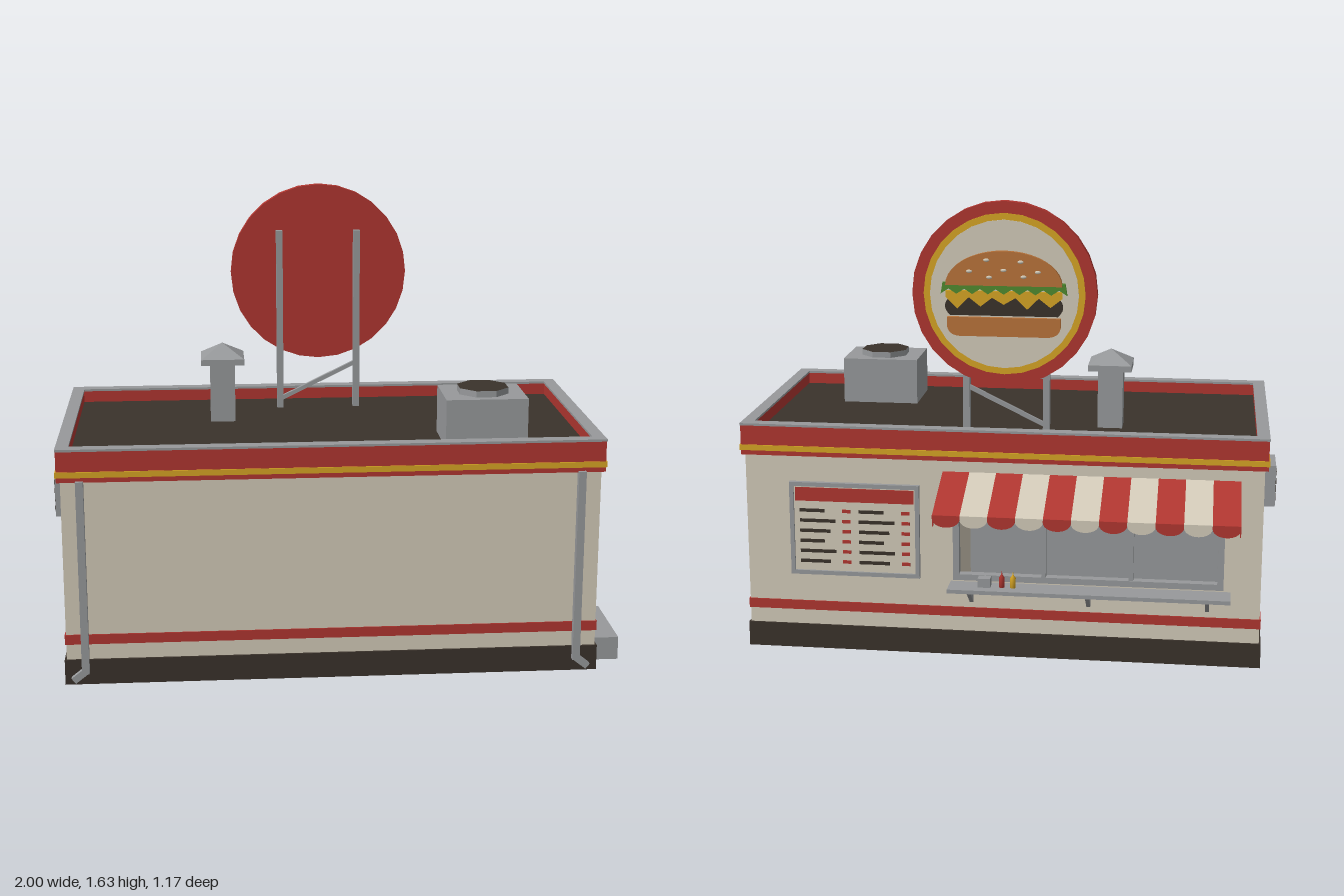
import * as THREE from 'three';

const mat = (name, color, opts = {}) => {
  const m = new THREE.MeshStandardMaterial({ color, ...opts });
  m.name = name;
  return m;
};
const red = mat('red', 0xb03630);
const cream = mat('cream', 0xd2cab8);
const dark = mat('dark brown', 0x3a322b);
const grey = mat('metal grey', 0x97999b);
const gold = mat('gold', 0xd6a424);
const bun = mat('bun brown', 0xb8733a);
const green = mat('lettuce green', 0x4f8a2f);

export function createModel() {
  const root = new THREE.Group();
  root.name = 'burgerStand';

  const add = (name, geo, m) => {
    const mesh = new THREE.Mesh(geo, m);
    mesh.name = name;
    root.add(mesh);
    return mesh;
  };
  const box = (name, m, x0, x1, y0, y1, z0, z1) =>
    add(name, new THREE.BoxGeometry(x1 - x0, y1 - y0, z1 - z0)
      .translate((x0 + x1) / 2, (y0 + y1) / 2, (z0 + z1) / 2), m);
  // square bar between two points
  const bar = (name, m, a, b, t) => {
    const p = new THREE.Vector3(...a), q = new THREE.Vector3(...b);
    const mesh = add(name, new THREE.BoxGeometry(t, t, p.distanceTo(q)), m);
    mesh.position.copy(p).add(q).multiplyScalar(0.5);
    mesh.lookAt(q);
    return mesh;
  };
  const rect = (S, x0, x1, y0, y1) =>
    new S([[x0, y0], [x1, y0], [x1, y1], [x0, y1]].map(p => new THREE.Vector2(...p)));
  const extrude = (shape, depth) =>
    new THREE.ExtrudeGeometry(shape, { depth, bevelEnabled: false, curveSegments: 10 });
  // upright plate from z0 to z1
  const plate = (name, m, shape, z0, z1) => add(name, extrude(shape, z1 - z0).translate(0, 0, z0), m);
  const poly = pts => new THREE.Shape(pts.map(p => new THREE.Vector2(...p)));
  // rectangular band around the building, o = outset from the wall face
  const X0 = -0.945, X1 = 0.895, Z0 = -0.34, Z1 = 0.555;
  const ring = (name, m, o, t, y0, y1) => {
    const s = rect(THREE.Shape, X0 - o, X1 + o, -Z1 - o, -Z0 + o);
    s.holes.push(rect(THREE.Path, X0 - o + t, X1 + o - t, -Z1 - o + t, -Z0 + o - t));
    return add(name, extrude(s, y1 - y0).rotateX(-Math.PI / 2).translate(0, y0, 0), m);
  };

  // walls, with the serving window cut in the back
  const W = { x0: -0.8, x1: 0.13, y0: 0.3, y1: 0.64 };
  box('frontWall', cream, X0, X1, 0.05, 0.74, Z1 - 0.015, Z1);
  box('leftWall', cream, X1 - 0.015, X1, 0.05, 0.74, Z0, Z1);
  box('rightWall', cream, X0, X0 + 0.015, 0.05, 0.74, Z0, Z1);
  const back = rect(THREE.Shape, X0, X1, 0.05, 0.74);
  back.holes.push(rect(THREE.Path, W.x0, W.x1, W.y0, W.y1));
  plate('backWall', cream, back, Z0, Z0 + 0.015);

  // bands and parapet
  ring('plinth', dark, 0.007, 0.024, 0, 0.09);
  ring('wallStripe', red, 0.004, 0.01, 0.145, 0.18);
  ring('parapet', red, 0.012, 0.04, 0.725, 0.832);
  ring('goldTrim', gold, 0.016, 0.01, 0.742, 0.762);
  ring('parapetCap', grey, 0.014, 0.044, 0.832, 0.84);
  box('roof', dark, X0, X1, 0.775, 0.79, Z0, Z1);

  // kitchen behind the window
  box('kitchenFloor', dark, -0.93, 0.17, 0.1, 0.11, -0.325, 0.2);
  box('kitchenBack', grey, -0.93, 0.17, 0.11, 0.74, 0.19, 0.2);
  box('kitchenSide', cream, 0.16, 0.17, 0.11, 0.74, -0.325, 0.19);

  // window frame and mullions
  const frame = (name, x0, x1, y0, y1, t, z0, z1) => {
    const s = rect(THREE.Shape, x0, x1, y0, y1);
    s.holes.push(rect(THREE.Path, x0 + t, x1 - t, y0 + t, y1 - t));
    plate(name, grey, s, z0, z1);
  };
  frame('windowFrame', W.x0 - 0.015, W.x1 + 0.015, W.y0 - 0.015, W.y1 + 0.015, 0.022, -0.352, -0.32);
  for (const k of [1, 2]) {
    const x = W.x0 + (W.x1 - W.x0) * k / 3;
    box('mullion', grey, x - 0.008, x + 0.008, W.y0, W.y1, -0.35, -0.325);
  }
  box('awningRail', grey, -0.83, 0.15, 0.635, 0.655, -0.365, -0.34);

  // counter, brackets and condiments
  box('counter', grey, -0.84, 0.155, 0.263, 0.277, -0.435, -0.335);
  for (const x of [-0.76, -0.34, 0.08]) {
    const g = extrude(poly([[0.34, 0.2], [0.425, 0.265], [0.34, 0.265]]), 0.014);
    add('counterBracket', g.rotateY(Math.PI / 2).translate(x - 0.007, 0, 0), grey);
  }
  box('napkinBox', grey, 0.005, 0.05, 0.277, 0.31, -0.4, -0.365);
  [[-0.035, red], [-0.075, gold]].forEach(([x, m]) => {
    const pts = [[0, 0], [0.01, 0], [0.01, 0.036], [0.003, 0.046], [0, 0.06]];
    add('sauceBottle', new THREE.LatheGeometry(pts.map(p => new THREE.Vector2(...p)), 10)
      .translate(x, 0.277, -0.385), m);
  });

  // striped awning with scalloped valance
  const A = { x0: -0.865, x1: 0.18, top: 0.685, edge: 0.597, wall: -0.345, out: -0.583 };
  const w = (A.x1 - A.x0) / 11;
  const slope = [[-A.wall, A.top], [-A.out, A.edge], [-A.out, A.edge - 0.006], [-A.wall, A.top - 0.006]];
  for (let i = 0; i < 11; i++) {
    const m = i % 2 ? cream : red, x = A.x0 + i * w;
    add('awningStripe', extrude(poly(slope), w).rotateY(Math.PI / 2).translate(x, 0, 0), m);
    const s = new THREE.Shape();
    s.moveTo(x, A.edge);
    s.lineTo(x, A.edge - 0.012);
    s.absellipse(x + w / 2, A.edge - 0.012, w / 2, 0.03, Math.PI, Math.PI * 2, false);
    s.lineTo(x + w, A.edge);
    plate('valanceScallop', m, s, A.out - 0.003, A.out + 0.003);
  }
  for (const x of [A.x0, A.x1 - 0.004]) {
    const tri = poly([[-A.wall, A.top], [-A.out, A.edge - 0.04], [-A.out, A.edge]]);
    add('awningSide', extrude(tri, 0.004).rotateY(Math.PI / 2).translate(x, 0, 0), red);
    const bx = x < 0 ? x + 0.015 : x - 0.01;
    bar('awningArm', grey, [bx, 0.53, -0.34], [bx, 0.588, -0.56], 0.01);
  }

  // menu board: header, two columns of items and prices
  box('menuPanel', cream, 0.275, 0.725, 0.295, 0.62, -0.348, -0.34);
  frame('menuFrame', 0.265, 0.735, 0.285, 0.63, 0.015, -0.356, -0.34);
  box('menuHeader', red, 0.285, 0.715, 0.56, 0.61, -0.351, -0.345);
  for (const x of [0.7, 0.485]) for (let r = 0; r < 6; r++) {
    const y = 0.525 - r * 0.038, len = 0.09 + 0.02 * ((r * 2) % 3);
    box('menuItem', dark, x - len, x, y - 0.006, y + 0.006, -0.351, -0.345);
    box('menuPrice', red, x - 0.185, x - 0.155, y - 0.006, y + 0.006, -0.351, -0.345);
  }

  // door, step and meter on the left wall
  box('doorFrame', grey, 0.89, 0.908, 0.085, 0.65, 0.185, 0.455);
  box('door', red, 0.9, 0.912, 0.088, 0.632, 0.205, 0.437);
  box('doorWindow', dark, 0.905, 0.914, 0.405, 0.54, 0.272, 0.367);
  box('doorHandle', grey, 0.91, 0.925, 0.268, 0.298, 0.233, 0.245);
  box('doorStep', grey, 0.9, 1, 0, 0.083, 0.162, 0.475);
  box('meterBox', grey, 0.893, 0.93, 0.345, 0.443, -0.055, 0.015);
  box('meterConduit', grey, 0.893, 0.908, 0.44, 0.73, -0.022, -0.008);

  // louvred vent on the right wall
  box('ventBox', grey, -0.997, X0 + 0.005, 0.488, 0.643, 0.022, 0.182);
  for (let i = 0; i < 4; i++)
    box('ventSlot', dark, -1, -0.99, 0.507 + i * 0.032, 0.523 + i * 0.032, 0.038, 0.166);

  // downspouts on the front corners
  for (const [x, d] of [[-0.88, -1], [0.825, 1]]) {
    box('downspout', grey, x - 0.013, x + 0.013, 0.045, 0.73, 0.557, 0.583);
    bar('downspoutFoot', grey, [x, 0.053, 0.57], [x + d * 0.042, 0.02, 0.57], 0.024);
  }

  // chimney
  box('chimney', grey, -0.435, -0.345, 0.785, 1.01, -0.065, 0.03);
  box('chimneyRim', grey, -0.467, -0.311, 1.005, 1.027, -0.097, 0.06);
  const cap = new THREE.ConeGeometry(0.156 / Math.SQRT2, 0.048, 4, 1).rotateY(Math.PI / 4);
  const pyramid = add('chimneyCap', cap.toNonIndexed(), grey);
  pyramid.geometry.computeVertexNormals();
  pyramid.position.set(-0.389, 1.051, -0.018);

  // air conditioner
  box('coolingUnit', grey, 0.37, 0.655, 0.785, 0.96, 0.226, 0.46);
  const fan = new THREE.CylinderGeometry(0.092, 0.092, 0.022, 8).toNonIndexed();
  fan.computeVertexNormals();
  fan.clearGroups();
  fan.addGroup(0, 48, 0);
  fan.addGroup(48, 48, 1);
  add('coolingFan', fan.rotateY(Math.PI / 8).translate(0.513, 0.971, 0.342), [grey, dark]);

  // round sign on two poles
  const cx = -0.025, cy = 1.302;
  const disc = (name, m, r, z0, z1) =>
    add(name, new THREE.CylinderGeometry(r, r, z1 - z0, 28).rotateX(Math.PI / 2)
      .translate(cx, cy, (z0 + z1) / 2), m);
  disc('signDisc', red, 0.326, -0.232, -0.197);
  disc('signGoldRing', gold, 0.285, -0.235, -0.23);
  disc('signFace', cream, 0.262, -0.238, -0.23);
  for (const x of [-0.171, 0.116])
    box('signPole', grey, x - 0.012, x + 0.012, 0.785, 1.46, -0.197, -0.168);
  bar('signBrace', grey, [-0.165, 0.825, -0.182], [0.116, 0.962, -0.182], 0.015);

  // burger relief
  const topBun = new THREE.Shape();
  topBun.moveTo(cx + 0.205, 1.335);
  topBun.absellipse(cx, 1.335, 0.205, 0.122, 0, Math.PI, false);
  plate('topBun', bun, topBun, -0.256, -0.236);
  const lettuce = [[cx + 0.215, 1.345], [cx - 0.215, 1.345]];
  for (let i = 0; i <= 16; i++)
    lettuce.push([cx - 0.222 + i * 0.02775, i % 2 ? 1.322 : 1.304]);
  plate('lettuce', green, poly(lettuce), -0.251, -0.236);
  const cheese = [[cx + 0.205, 1.315], [cx - 0.205, 1.315]];
  for (let i = 0; i <= 10; i++)
    cheese.push([cx - 0.205 + i * 0.041, i % 2 ? 1.252 + (i % 3) * 0.008 : 1.292]);
  plate('cheese', gold, poly(cheese), -0.249, -0.236);
  const patty = new THREE.Shape();
  patty.moveTo(cx - 0.19, 1.228);
  patty.lineTo(cx + 0.19, 1.228);
  patty.quadraticCurveTo(cx + 0.225, 1.26, cx + 0.19, 1.293);
  patty.lineTo(cx - 0.19, 1.293);
  patty.quadraticCurveTo(cx - 0.225, 1.26, cx - 0.19, 1.228);
  plate('patty', dark, patty, -0.247, -0.236);
  const lower = new THREE.Shape();
  lower.moveTo(cx - 0.2, 1.222);
  lower.lineTo(cx - 0.2, 1.19);
  lower.quadraticCurveTo(cx - 0.195, 1.155, cx - 0.15, 1.155);
  lower.lineTo(cx + 0.15, 1.155);
  lower.quadraticCurveTo(cx + 0.195, 1.155, cx + 0.2, 1.19);
  lower.lineTo(cx + 0.2, 1.222);
  plate('bottomBun', bun, lower, -0.253, -0.236);
  for (const [x, y] of [[-0.12, 1.385], [-0.06, 1.42], [0, 1.39], [0.06, 1.425], [0.12, 1.385], [0.05, 1.365], [-0.07, 1.368]])
    add('sesameSeed', new THREE.SphereGeometry(1, 8, 6).scale(0.011, 0.006, 0.004)
      .translate(cx + x, y, -0.257), cream);

  return root;
}
